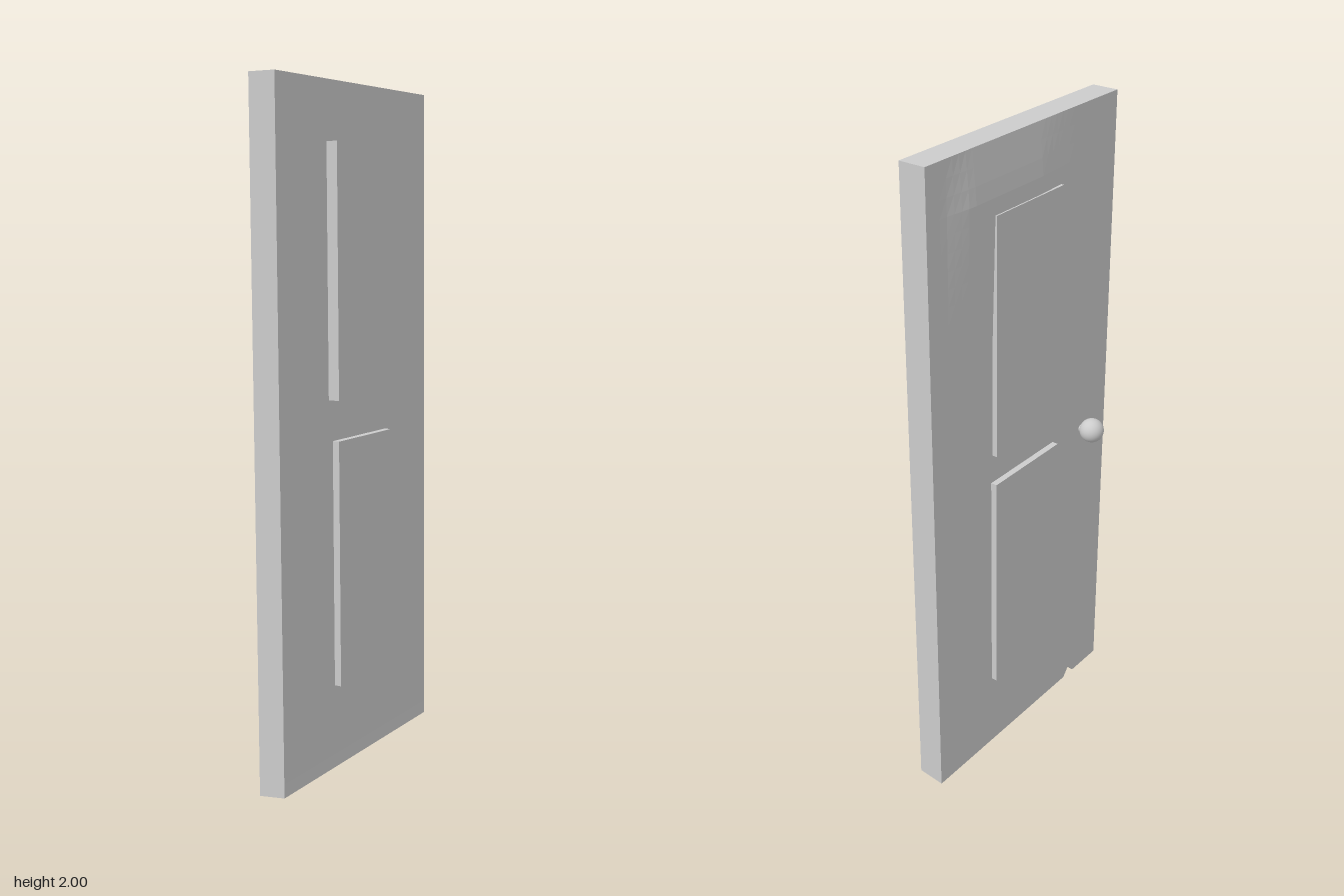
import * as THREE from 'three';

const material = new THREE.MeshStandardMaterial({ color: 0xcccccc, flatShading: true });
const smooth = new THREE.MeshStandardMaterial({ color: 0xcccccc });

// The whole door leans a little: centre line of the slab at height y
const lean = (y) => 0.0315 - 0.0095 * y;
const HALF = 0.0415;

// Ramp up from a to b, hold until c, ramp down to d
const ramp = (v, a, b, c, d) =>
  THREE.MathUtils.clamp(Math.min((v - a) / (b - a), (d - v) / (d - c)), 0, 1);

function addMesh(group, name, geometry, mat = material) {
  const mesh = new THREE.Mesh(geometry, mat);
  mesh.name = name;
  group.add(mesh);
  return mesh;
}

// Move every vertex of a geometry by a rule
function warp(geometry, rule) {
  const p = geometry.attributes.position;
  const v = new THREE.Vector3();
  for (let i = 0; i < p.count; i++) {
    v.fromBufferAttribute(p, i);
    rule(v);
    p.setXYZ(i, v.x, v.y, v.z);
  }
  geometry.computeVertexNormals();
  return geometry;
}

// Leaning slab with a warped upper face and a small chip in its lower edge
function slabGeometry() {
  const g = new THREE.BoxGeometry(HALF * 2, 2, 0.835, 1, 40, 32);
  g.translate(0, 1, 0);
  return warp(g, (v) => {
    const y = v.y;
    const onKnobFace = v.x < 0;
    v.x += lean(y);
    if (onKnobFace) {
      v.x -= 0.013 * ramp(y, 1.4, 1.85, 1.86, 2) * ramp(v.z, -0.35, -0.25, 0.05, 0.25);
      if (y < 0.01 && Math.abs(v.z - 0.25) < 0.014) v.y += 0.03;
    } else if (y < 0.01) {
      v.y += 0.01;
    }
  });
}

// Raised panel standing proud of one face, leaning with the slab
function panelGeometry(side, y0, y1, z0, z1, proud) {
  const g = new THREE.BoxGeometry(proud + 0.02, y1 - y0, z1 - z0);
  g.translate(side * (HALF + (proud - 0.02) / 2), (y0 + y1) / 2, (z0 + z1) / 2);
  return warp(g, (v) => { v.x += lean(v.y); });
}

export function createModel() {
  const door = new THREE.Group();
  door.name = 'door';

  addMesh(door, 'slab', slabGeometry());

  // Two raised panels on each face
  const panels = [
    ['upperPanelLeft', 1, 1.105, 1.83, -0.138, 0.162, 0.034],
    ['lowerPanelLeft', 1, 0.26, 0.985, -0.162, 0.142, 0.021],
    ['upperPanelRight', -1, 1.07, 1.8, -0.155, 0.145, 0.016],
    ['lowerPanelRight', -1, 0.255, 0.98, -0.162, 0.14, 0.0195],
  ];
  for (const [name, ...size] of panels) addMesh(door, name, panelGeometry(...size));

  // Round knob on a short neck
  const knob = new THREE.Group();
  knob.name = 'knob';
  knob.position.set(-0.061, 0.968, 0.29);
  addMesh(knob, 'knobBall', new THREE.SphereGeometry(0.038, 32, 20), smooth);
  const neck = addMesh(knob, 'knobNeck', new THREE.CylinderGeometry(0.012, 0.012, 0.06, 20), smooth);
  neck.rotation.z = Math.PI / 2;
  neck.position.set(0.035, -0.006, 0);
  door.add(knob);

  return door;
}
